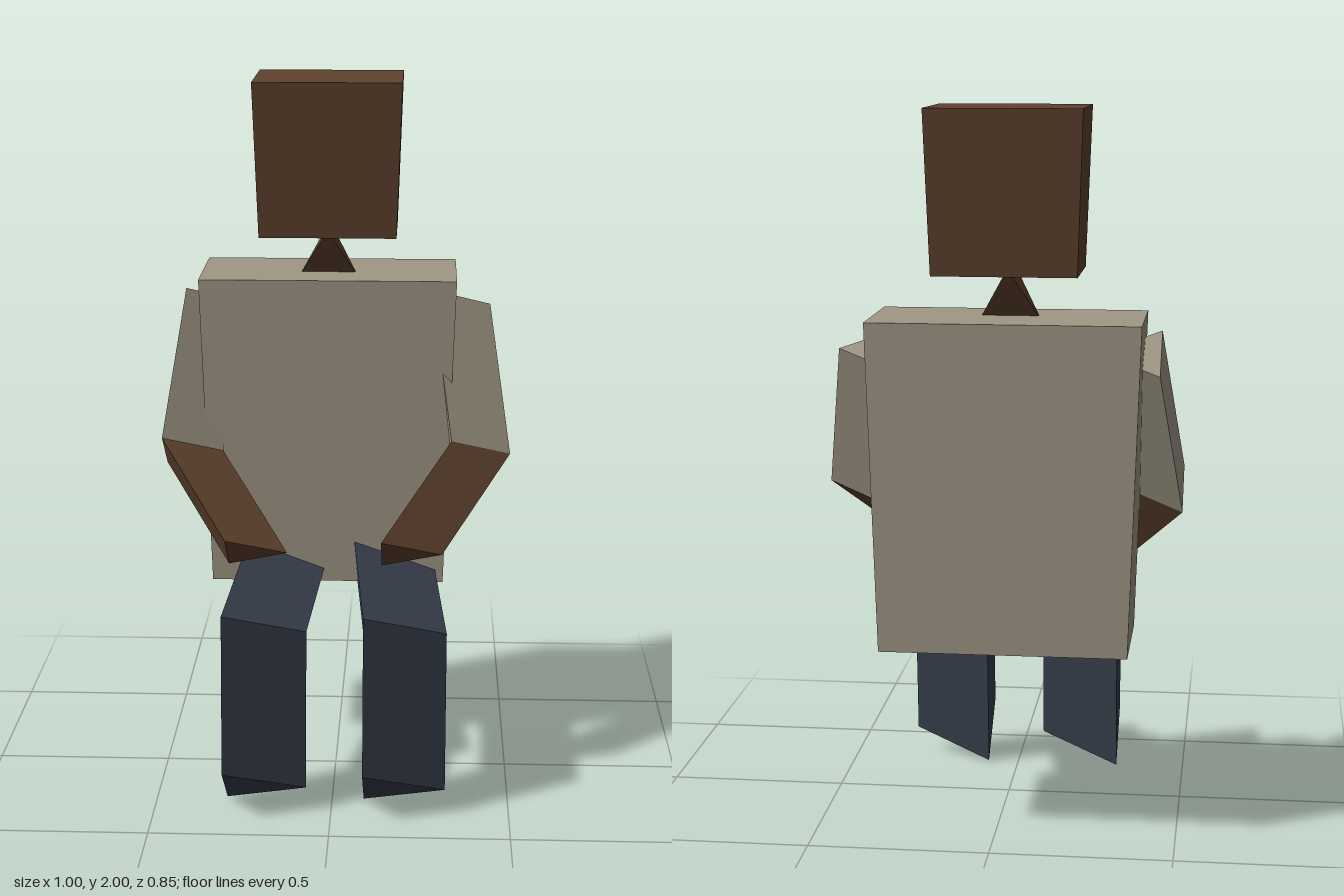
import * as THREE from 'three';

const mat = (name, color) => {
  const m = new THREE.MeshStandardMaterial({ color });
  m.name = name;
  return m;
};

// Flat-faced geometry from a list of triangle corners
function faceted(corners) {
  const g = new THREE.BufferGeometry();
  g.setAttribute('position', new THREE.Float32BufferAttribute(corners.flat(), 3));
  g.computeVertexNormals();
  return g;
}

// Triangular prism: one cross-section moved from a start point to an end point
function prism(section, start, end) {
  const at = (o) => section.map((p) => p.map((v, i) => v + o[i]));
  const r = at(start), s = at(end);
  const tris = [r[0], r[2], r[1], s[0], s[1], s[2]];
  for (let i = 0; i < 3; i++) {
    const j = (i + 1) % 3;
    tris.push(r[i], r[j], s[j], r[i], s[j], s[i]);
  }
  return faceted(tris);
}

// Box whose bottom is narrowed by the factors kx and kz
function taperedBox(w, h, d, kx, kz) {
  const g = new THREE.BoxGeometry(w, h, d);
  const p = g.attributes.position;
  for (let i = 0; i < p.count; i++) {
    if (p.getY(i) < 0) {
      p.setX(i, p.getX(i) * kx);
      p.setZ(i, p.getZ(i) * kz);
    }
  }
  g.computeVertexNormals();
  return g;
}

export function createModel() {
  const model = new THREE.Group();
  model.name = 'seatedFigure';
  const shirt = mat('shirt', 0xa09785);
  const skin = mat('skin', 0x5f422d);
  const trousers = mat('trousers', 0x373f4c);

  const add = (name, geometry, material, parent = model) => {
    const mesh = new THREE.Mesh(geometry, material);
    mesh.name = name;
    parent.add(mesh);
    return mesh;
  };

  // Torso and head
  add('torso', taperedBox(0.736, 0.9, 0.337, 0.92, 1), shirt).position.set(-0.028, 0.99, -0.258);
  add('head', taperedBox(0.42, 0.44, 0.336, 0.93, 0.84), skin).position.set(-0.028, 1.78, -0.242);

  // Neck: wedge with a bottom edge across and a top edge front to back
  const n = 0.085, y0 = 1.426, y1 = 1.574, nx = -0.03, nz = -0.23;
  const l = [nx - n, y0, nz], r = [nx + n, y0, nz];
  const f = [nx, y1, nz + n], b = [nx, y1, nz - n];
  add('neck', faceted([l, r, f, r, l, b, f, r, b, f, b, l]), skin);

  // Limbs: cross-section corners relative to the upper front corner
  const armSection = [[0, 0, 0], [0.17, -0.053, -0.063], [0, -0.108, -0.125]];
  const legSection = [[0, 0, 0], [0.23, -0.072, -0.085], [0, -0.143, -0.17]];

  for (const [side, hand, elbow, shoulder] of [
    ['left', 0.135, 0.33, 0.27],
    ['right', -0.3, -0.5, -0.44],
  ]) {
    const arm = new THREE.Group();
    arm.name = side + 'Arm';
    model.add(arm);
    const bend = [elbow, 0.992, -0.015];
    add(side + 'Forearm', prism(armSection, [hand, 0.768, 0.24], bend), skin, arm);
    add(side + 'UpperArm', prism(armSection, bend, [shoulder, 1.397, -0.182]), shirt, arm);
  }

  for (const [side, knee, hip] of [
    ['left', 0.09, 0.05],
    ['right', -0.3, -0.26],
  ]) {
    const leg = new THREE.Group();
    leg.name = side + 'Leg';
    model.add(leg);
    const bend = [knee, 0.598, 0.385];
    add(side + 'Shin', prism(legSection, [knee, 0.146, 0.425], bend), trousers, leg);
    add(side + 'Thigh', prism(legSection, bend, [hip, 0.663, -0.1]), trousers, leg);
  }

  return model;
}
